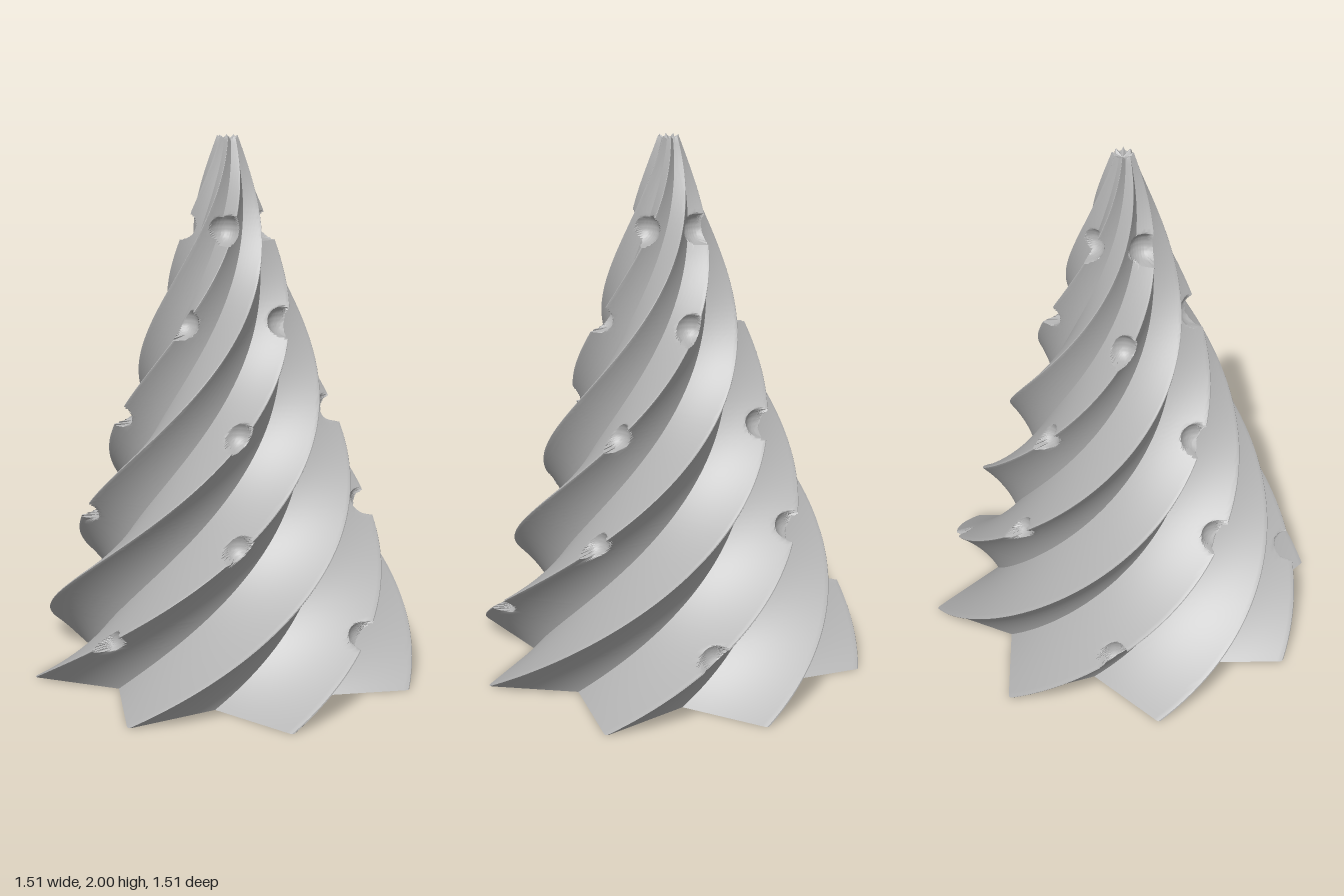
import * as THREE from 'three';
import { toCreasedNormals } from 'three/addons/utils/BufferGeometryUtils.js';

const DEG = Math.PI / 180;
const HEIGHT = 2;
const POINTS = 8;
const HALF = Math.PI / POINTS;          // angle from ridge to valley
const TWIST = 128.5 * DEG;              // twist per unit of height
const PER_POINT = 48;                   // columns per star point

// Taper of the ridges
const ridgeRadius = (y) => 0.755 - 0.359 * y;

// Radius of the straight-sided star, with slightly blunted tips
function starRadius(u, y) {
  const tip = ridgeRadius(y), a = tip * 1.012, b = tip * 0.695;
  const r = a * b * Math.sin(HALF) / (a * Math.sin(u) + b * Math.sin(HALF - u));
  return Math.min(r, tip);
}

// Round dents: five rows of four, sitting on the ridges
const DENT = 0.058;
const dents = [];
[[0.247, 31.5], [0.612, 76], [0.983, 122.5], [1.352, 169], [1.68, 203]].forEach(([y, deg]) => {
  const turn = (deg < 100 ? deg - 45 : deg) * DEG;
  for (let k = 0; k < 4; k++) {
    dents.push({ y, angle: turn + k * Math.PI / 2, r: ridgeRadius(y) - 0.012 });
  }
});

// Cut the surface back to the inner wall of any dent at this angle and height
function carve(r, angle, y) {
  for (const d of dents) {
    const dy = y - d.y;
    if (Math.abs(dy) >= DENT || Math.cos(angle - d.angle) < 0) continue;
    const side = d.r * Math.sin(angle - d.angle);
    const inside = DENT * DENT - dy * dy - side * side;
    if (inside <= 0) continue;
    const mid = d.r * Math.cos(angle - d.angle);
    const near = mid - Math.sqrt(inside), far = mid + Math.sqrt(inside);
    if (r > near && r < far + 0.03) r = Math.max(near, 0.01);
  }
  return r;
}

function twistedTree() {
  // Heights, finer where the dents are
  const rows = [];
  for (let y = 0; y < HEIGHT - 0.004;) {
    rows.push(y);
    y += dents.some((d) => Math.abs(d.y - y) < DENT + 0.008) ? 0.0065 : 0.02;
  }
  rows.push(HEIGHT);

  // Columns, finer near each ridge
  const columns = [];
  for (let p = 0; p < POINTS; p++) {
    for (let i = 0; i < PER_POINT; i++) {
      const s = (2 * i) / PER_POINT - 1;
      const u = HALF * Math.pow(Math.abs(s), 1.35);
      columns.push({ u, angle: 2 * HALF * p + Math.sign(s) * u });
    }
  }

  const n = columns.length, pos = [], index = [];
  rows.forEach((y, j) => {
    for (const { u, angle } of columns) {
      const a = angle + TWIST * y;
      const r = carve(starRadius(u, y), a, y);
      // the top rim dips at the valleys
      const dip = j === rows.length - 1 ? 0.018 * u / HALF : 0;
      pos.push(r * Math.sin(a), y - dip, r * Math.cos(a));
    }
  });
  for (let j = 0; j < rows.length - 1; j++) {
    for (let i = 0; i < n; i++) {
      const a = j * n + i, b = j * n + (i + 1) % n;
      index.push(a, b, b + n, a, b + n, a + n);
    }
  }

  // Flat base and small hollow top
  const base = pos.length / 3, top = base + 1, last = (rows.length - 1) * n;
  pos.push(0, 0, 0, 0, HEIGHT - 0.02, 0);
  for (let i = 0; i < n; i++) {
    const k = (i + 1) % n;
    index.push(base, k, i, top, last + i, last + k);
  }

  const geometry = new THREE.BufferGeometry();
  geometry.setAttribute('position', new THREE.Float32BufferAttribute(pos, 3));
  geometry.setIndex(index);
  return toCreasedNormals(geometry, 0.55);
}

export function createModel() {
  const grey = new THREE.MeshStandardMaterial({ color: 0xb3b3b3 });
  grey.name = 'light grey';

  const group = new THREE.Group();
  group.name = 'twistedTree';
  const body = new THREE.Mesh(twistedTree(), grey);
  body.name = 'treeBody';
  group.add(body);
  return group;
}
